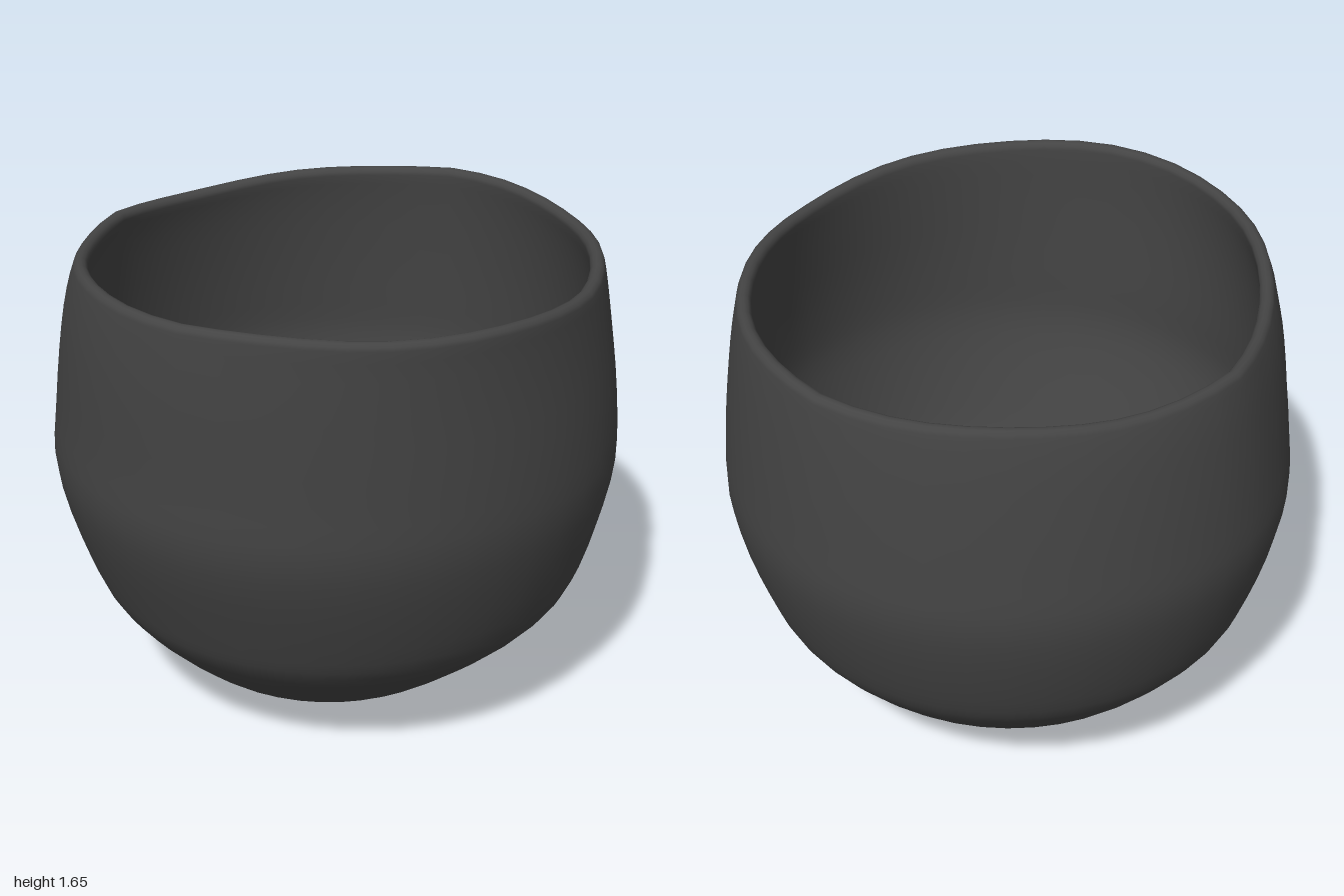
import * as THREE from 'three';
import { mergeVertices } from 'three/addons/utils/BufferGeometryUtils.js';

const WALL = 0.05, SIDES = 48, STEPS = 32, LIP_STEPS = 6;

// Outer profiles (radius) of the hand-formed bowl in four directions
const heights = [0, 0.03, 0.08, 0.17, 0.36, 0.52, 0.85, 1.1, 1.4];
const profile = (radii, rimRadius, rimHeight) => new THREE.SplineCurve([
  ...radii.map((r, i) => new THREE.Vector2(r, heights[i])),
  new THREE.Vector2(rimRadius, rimHeight - WALL / 2),
]);
const front = profile([0, 0.27, 0.45, 0.6, 0.79, 0.87, 0.985, 0.995, 1.0], 0.99, 1.645);
const left = profile([0, 0.28, 0.43, 0.57, 0.79, 0.89, 0.975, 0.975, 0.94], 0.92, 1.595);
const back = profile([0, 0.3, 0.43, 0.61, 0.8, 0.89, 0.985, 0.985, 0.965], 0.945, 1.615);
const right = profile([0, 0.2, 0.37, 0.61, 0.8, 0.895, 0.98, 0.97, 0.93], 0.9, 1.575);

// Point on one profile: side 0 = outer skin, PI = inner skin, between = rounded lip
function sectionPoint(curve, t, side) {
  const p = curve.getPoint(t), d = curve.getTangent(t);
  if (t === 0) d.set(1, 0);
  const h = WALL / 2, n = h * (1 - Math.cos(side)), s = h * Math.sin(side);
  return new THREE.Vector2(Math.max(0, p.x - d.y * n + d.x * s), p.y + d.x * n + d.y * s);
}

function bowlGeometry() {
  // Path from outer base, over the lip, to the inner floor
  const path = [];
  for (let i = 0; i <= STEPS; i++) path.push([i / STEPS, 0]);
  for (let i = 1; i < LIP_STEPS; i++) path.push([1, Math.PI * i / LIP_STEPS]);
  for (let i = STEPS; i >= 0; i--) path.push([i / STEPS, Math.PI]);

  const geo = new THREE.LatheGeometry(path.map(() => new THREE.Vector2(1, 0)), SIDES);
  const pos = geo.attributes.position;
  for (let k = 0; k < pos.count; k++) {
    const [t, side] = path[k % path.length];
    const angle = (Math.floor(k / path.length) % SIDES) / SIDES * Math.PI * 2;
    const sx = Math.sin(angle), cz = Math.cos(angle);
    // Blend the two neighbouring profiles
    const a = sectionPoint(cz >= 0 ? front : back, t, side);
    const b = sectionPoint(sx >= 0 ? left : right, t, side);
    const p = a.lerp(b, sx * sx);
    // Uneven rim: squeezed diagonals and a gently waving edge
    const top = t ** 4;
    const diag = 2 * sx * cz;
    const squeeze = diag > 0 ? (sx > 0 ? 0.035 : -0.03) * diag : (sx > 0 ? 0.04 : 0.06) * diag;
    const r = p.x + squeeze * top;
    const y = p.y + top * (0.012 * Math.max(0, diag) * Math.sign(sx) + 0.004 * Math.sin(7 * angle));
    pos.setXYZ(k, r * sx, y, r * cz);
  }
  geo.deleteAttribute('normal');
  geo.deleteAttribute('uv');
  const merged = mergeVertices(geo, 1e-5);
  merged.computeVertexNormals();
  return merged;
}

export function createModel() {
  const group = new THREE.Group();
  group.name = 'roundBowl';
  const clay = new THREE.MeshStandardMaterial({ color: 0x444444 });
  const bowl = new THREE.Mesh(bowlGeometry(), clay);
  bowl.name = 'bowl';
  group.add(bowl);
  return group;
}
